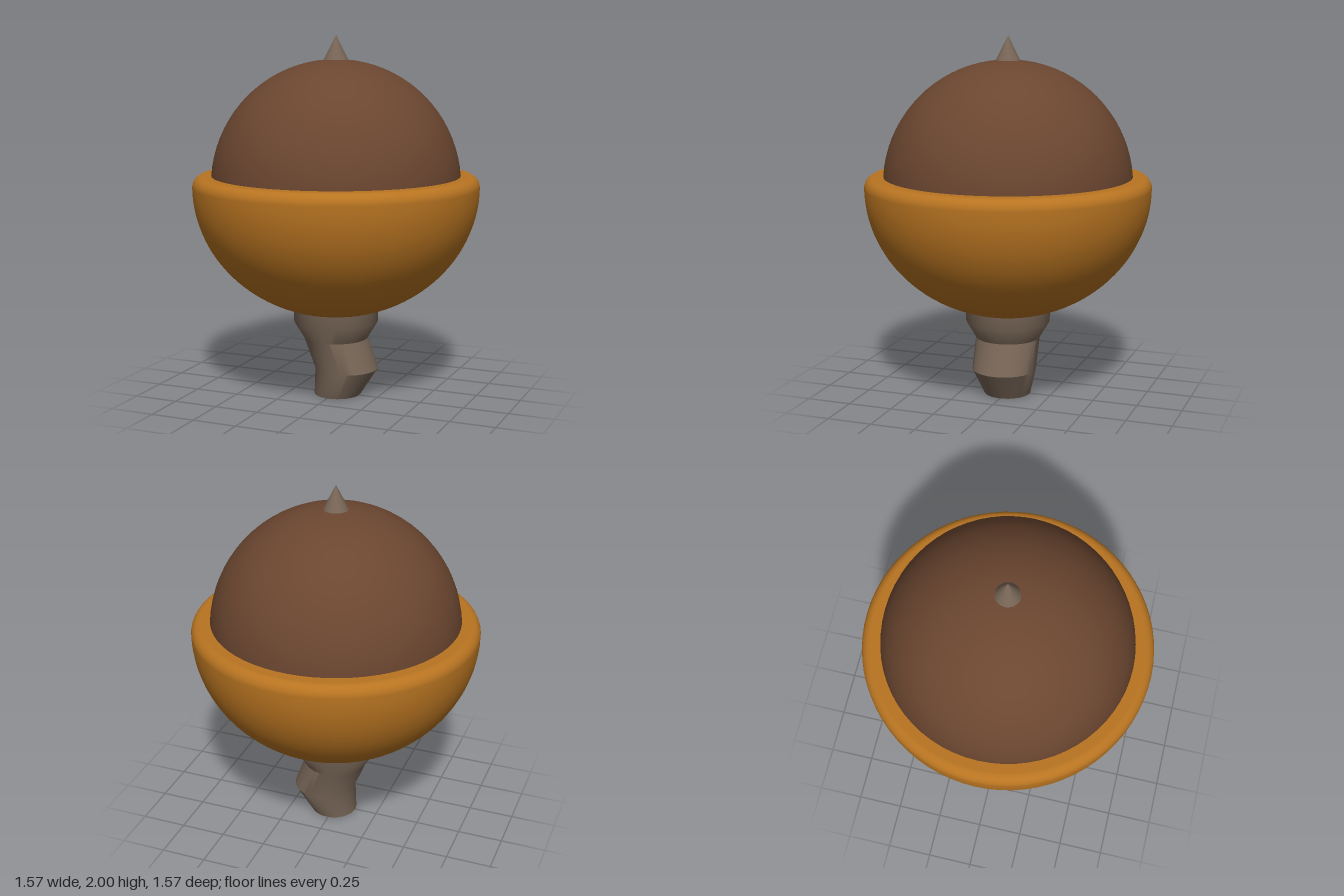
import * as THREE from 'three';
import { toCreasedNormals } from 'three/addons/utils/BufferGeometryUtils.js';

const nutBrown = new THREE.MeshStandardMaterial({ name: 'nutBrown', color: 0x6b4630 });
const capOchre = new THREE.MeshStandardMaterial({ name: 'capOchre', color: 0xb87421 });
const stemGrey = new THREE.MeshStandardMaterial({ name: 'stemGrey', color: 0x786657 });

function part(name, geometry, material, y = 0) {
  const mesh = new THREE.Mesh(geometry, material);
  mesh.name = name;
  mesh.position.y = y;
  return mesh;
}

// Bowl with a rounded rim, closed inside the nut
function capGeometry() {
  const points = [];
  for (let i = 0; i <= 28; i++) {
    const a = (i / 28) * Math.PI / 2;
    points.push(new THREE.Vector2(0.787 * Math.sin(a), 1.18 - 0.723 * Math.cos(a)));
  }
  for (let i = 1; i <= 8; i++) {
    const a = (i / 8) * Math.PI / 2;
    points.push(new THREE.Vector2(0.732 + 0.055 * Math.cos(a), 1.18 + 0.06 * Math.sin(a)));
  }
  points.push(new THREE.Vector2(0.66, 1.24));
  return new THREE.LatheGeometry(points, 72);
}

// Crooked stem: a cylinder whose rings are moved and resized
function stemGeometry() {
  const rings = [ // height, x offset, x radius, z radius
    [0, 0.01, 0.13, 0.13],
    [0.155, 0.065, 0.175, 0.178],
    [0.325, 0, 0.178, 0.18],
    [0.42, 0, 0.235, 0.235],
    [0.58, 0, 0.235, 0.235],
  ];
  const last = rings.length - 1;
  const geometry = new THREE.CylinderGeometry(1, 1, 1, 32, last);
  const pos = geometry.attributes.position;
  for (let i = 0; i < pos.count; i++) {
    const [y, dx, rx, rz] = rings[Math.round((pos.getY(i) + 0.5) * last)];
    pos.setXYZ(i, pos.getX(i) * rx + dx, y, pos.getZ(i) * rz);
  }
  return toCreasedNormals(geometry, 0.6);
}

export function createModel() {
  const model = new THREE.Group();
  model.name = 'acorn';
  model.add(
    part('nut', new THREE.SphereGeometry(0.685, 64, 40), nutBrown, 1.185),
    part('cap', capGeometry(), capOchre),
    part('stem', stemGeometry(), stemGrey),
    part('tip', new THREE.ConeGeometry(0.07, 0.14, 20), stemGrey, 1.93),
  );
  return model;
}
